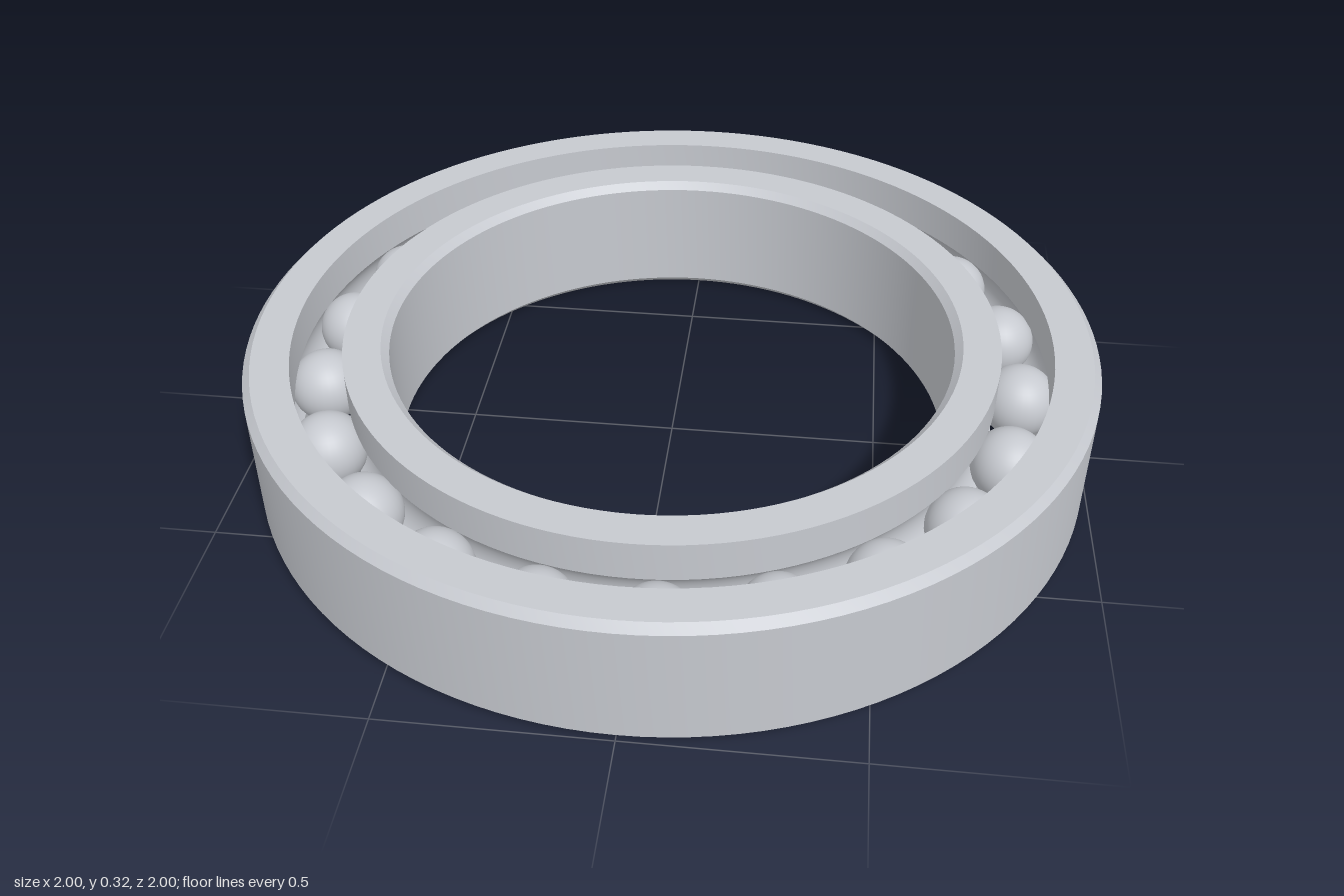
import * as THREE from 'three';
import { toCreasedNormals } from 'three/addons/utils/BufferGeometryUtils.js';

const HEIGHT = 0.32;
const MID = HEIGHT / 2;
const CHAMFER = 0.018;
const BORE = 0.667;          // radius of the shaft hole
const INNER_LIP = 0.773;     // outside of the inner ring
const OUTER_LIP = 0.893;     // inside of the outer ring
const PITCH = 0.833;         // radius of the circle of balls
const BALL = 0.088;
const GROOVE = 0.089;
const BALL_COUNT = 21;

// Raceway arc around the ball circle; side is -1 for the inner ring, 1 for the outer
function raceway(lip, side) {
  const half = Math.acos(Math.abs(lip - PITCH) / GROOVE);
  const points = [];
  for (let i = 0; i <= 12; i++) {
    const a = -half + (2 * half * i) / 12;
    points.push([PITCH + side * GROOVE * Math.cos(a), MID + GROOVE * Math.sin(a)]);
  }
  return side < 0 ? points : points.reverse();
}

// Turned ring from a closed, counterclockwise (radius, height) profile
function ring(name, profile, material) {
  const points = [...profile, profile[0]].map(([r, y]) => new THREE.Vector2(r, y));
  const geometry = toCreasedNormals(new THREE.LatheGeometry(points, 128), 0.5);
  const mesh = new THREE.Mesh(geometry, material);
  mesh.name = name;
  return mesh;
}

export function createModel() {
  const steel = new THREE.MeshStandardMaterial({ color: 0xc6c9cf });
  steel.name = 'steel';

  const model = new THREE.Group();
  model.name = 'ballBearing';

  // Inner ring: groove outside, chamfered bore
  model.add(ring('innerRing', [
    [BORE + CHAMFER, 0],
    [INNER_LIP, 0],
    ...raceway(INNER_LIP, -1),
    [INNER_LIP, HEIGHT],
    [BORE + CHAMFER, HEIGHT],
    [BORE, HEIGHT - CHAMFER],
    [BORE, CHAMFER],
  ], steel));

  // Outer ring: chamfered rim, groove inside
  model.add(ring('outerRing', [
    [OUTER_LIP, 0],
    [1 - CHAMFER, 0],
    [1, CHAMFER],
    [1, HEIGHT - CHAMFER],
    [1 - CHAMFER, HEIGHT],
    [OUTER_LIP, HEIGHT],
    ...raceway(OUTER_LIP, 1),
  ], steel));

  // Balls evenly spaced in the raceway, the first on +x
  const balls = new THREE.Group();
  balls.name = 'balls';
  const ballGeometry = new THREE.SphereGeometry(BALL, 32, 24);
  for (let i = 0; i < BALL_COUNT; i++) {
    const a = (i / BALL_COUNT) * Math.PI * 2;
    const ball = new THREE.Mesh(ballGeometry, steel);
    ball.name = 'ball';
    ball.position.set(PITCH * Math.cos(a), MID, PITCH * Math.sin(a));
    balls.add(ball);
  }
  model.add(balls);

  return model;
}
